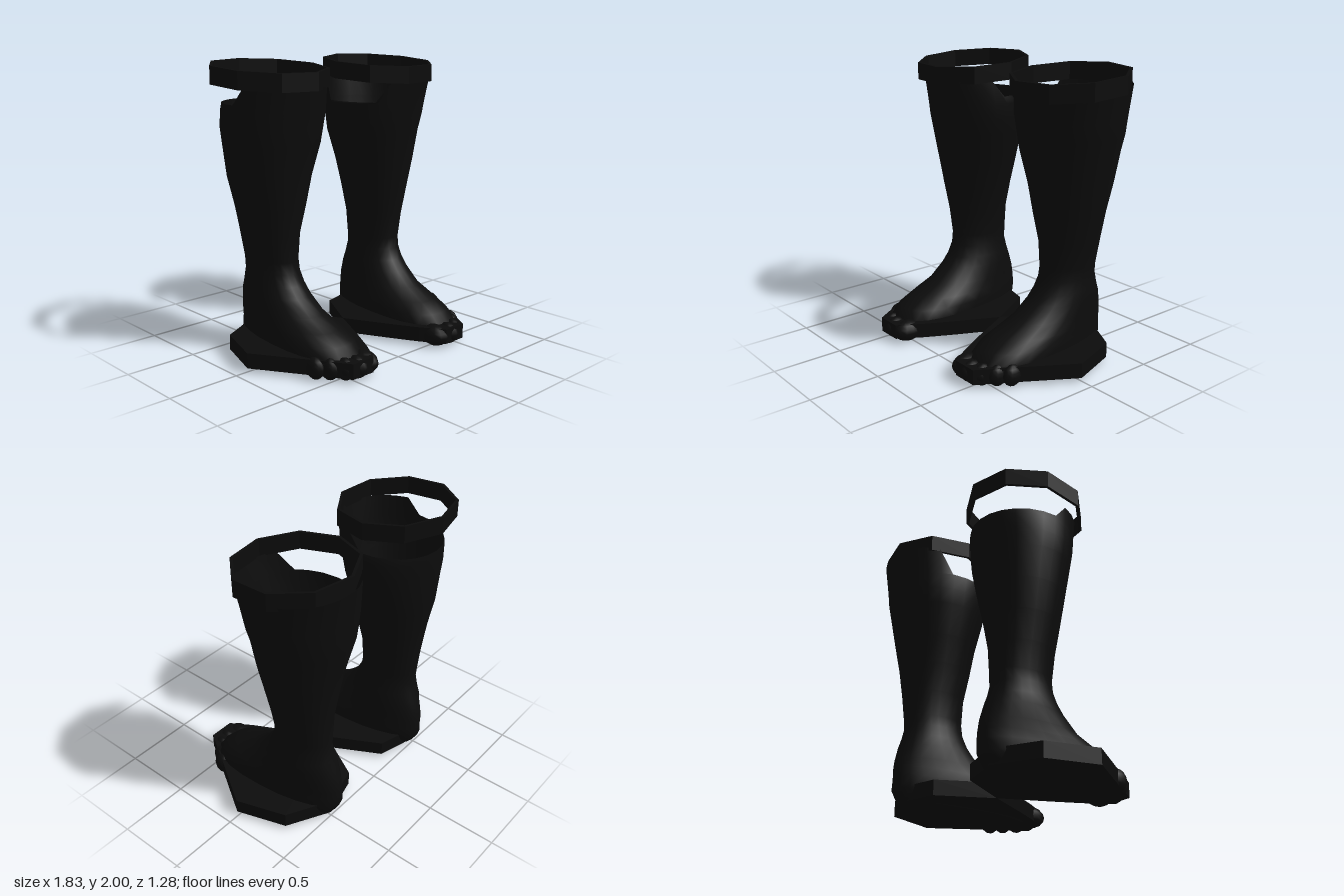
import * as THREE from 'three';

const charcoal = new THREE.MeshStandardMaterial({ color: 0x0c0c0c, side: THREE.DoubleSide });
charcoal.name = 'charcoal';
const SIDES = 24;

// Upright prism from a plan outline of [x, z] points, with an optional hole
function prism(outline, y, height, hole) {
  const toPoints = (list) => list.map(([x, z]) => new THREE.Vector2(x, -z));
  const shape = new THREE.Shape(toPoints(outline));
  if (hole) shape.holes.push(new THREE.Path(toPoints(hole)));
  const g = new THREE.ExtrudeGeometry(shape, { depth: height, bevelEnabled: false });
  return g.rotateX(-Math.PI / 2).translate(0, y, 0);
}

// Hollow shin running down into the foot; s = 1 is the left leg, -1 the right
function legGeometry(s) {
  const left = s > 0;
  // y, inner x, outer x, back z, front z, forward widening, squareness
  const rows = [
    [0.01, 0.31, 0.62, -0.46, 0.48, 0.22, 0.85],
    [0.05, 0.26, 0.69, -0.51, 0.54, 0.22, 0.85],
    [0.12, 0.25, 0.70, -0.55, 0.55, 0.22, 0.85],
    [0.20, 0.25, 0.69, -0.55, 0.47, 0.2, 0.9],
    [0.26, 0.27, 0.68, -0.55, 0.36, 0.14, 0.95],
    [0.33, 0.285, 0.67, -0.54, 0.21, 0.06, 1],
    [0.43, 0.30, 0.67, -0.51, 0.08, 0, 1],
    [0.50, 0.315, 0.66, -0.485, 0.02, 0, 1],
    [0.58, 0.33, 0.65, -0.465, -0.02, 0, 1],
    [0.66, 0.335, 0.65, -0.47, -0.03, 0, 1],
    [0.84, 0.315, 0.69, -0.48, -0.02, 0, 1],
    [1.04, 0.265, 0.735, -0.505, 0.015, 0, 1],
    [1.24, 0.215, 0.785, -0.54, 0.045, 0, 1],
    [1.46, 0.15, 0.82, left ? -0.59 : -0.56, 0.09, 0, 1],
    [1.57, 0.135, left ? 0.85 : 0.835, left ? -0.605 : -0.57, 0.11, 0, 1],
    [1.68, 0.125, left ? 0.865 : 0.83, left ? -0.615 : -0.575, 0.13, 0, 1],
    [1.86, 0.14, left ? 0.89 : 0.82, left ? -0.64 : -0.575, 0.16, 0, 1],
  ];
  const bend = (v, p) => Math.sign(v) * Math.abs(v) ** p;
  const pos = [], index = [];
  rows.forEach(([y, x0, x1, zb, zf, widen, p], r) => {
    for (let i = 0; i < SIDES; i++) {
      const t = (i / SIDES) * Math.PI * 2, sn = Math.sin(t), cs = Math.cos(t);
      const x = (x0 + x1) / 2 + ((x1 - x0) / 2) * bend(sn, p) * (1 + widen * cs);
      const z = (zb + zf) / 2 + ((zf - zb) / 2) * bend(cs, p);
      // The rim dips at the inner side, and behind on the right leg
      let h = y;
      if (r === rows.length - 1) {
        if (left) h = sn < -0.6 && cs > -0.4 ? 1.69 : 1.87 - 0.04 * cs;
        else h = cs > 0.2 ? 1.84 : 1.73;
      }
      pos.push(s * x, h, z);
    }
  });
  const tri = (a, b, c) => (left ? index.push(a, b, c) : index.push(a, c, b));
  for (let r = 0; r < rows.length - 1; r++) {
    for (let i = 0; i < SIDES; i++) {
      const j = (i + 1) % SIDES, a = r * SIDES + i, b = r * SIDES + j;
      tri(a, b, b + SIDES);
      tri(a, b + SIDES, a + SIDES);
    }
  }
  // Sole
  const centre = pos.length / 3;
  pos.push(s * 0.465, 0.01, 0);
  for (let i = 0; i < SIDES; i++) tri(centre, (i + 1) % SIDES, i);
  const g = new THREE.BufferGeometry();
  g.setAttribute('position', new THREE.Float32BufferAttribute(pos, 3));
  g.setIndex(index);
  g.computeVertexNormals();
  return g;
}

// Loose nine-sided band, rising towards the back
function bandGeometry(s) {
  const ring = (radius) => Array.from({ length: 9 }, (_, i) => {
    const a = ((40 * i - 7) * Math.PI) / 180;
    return [s * (0.51 + radius * Math.sin(a)), -0.22 - radius * Math.cos(a)];
  });
  const g = prism(ring(0.405), 1.82, 0.12, ring(0.385));
  const p = g.attributes.position;
  for (let i = 0; i < p.count; i++) p.setY(i, p.getY(i) + 0.075 * (0.18 - p.getZ(i)));
  g.computeVertexNormals();
  return g;
}

export function createModel() {
  const model = new THREE.Group();
  model.name = 'pairOfLegs';
  const basePlan = [[0, -0.055], [0.16, 0.27], [0.26, 0.46], [0.36, 0.62], [0.54, 0.62],
    [0.71, 0.34], [0.915, 0.01], [0.8, -0.34], [0.5, -0.5], [0.2, -0.42]];
  // x, z, radius from the big toe outwards
  const toes = [[0.35, 0.52, 0.08], [0.45, 0.555, 0.058], [0.53, 0.53, 0.053],
    [0.6, 0.46, 0.05], [0.66, 0.39, 0.05]];

  for (const s of [1, -1]) {
    const side = new THREE.Group();
    side.name = s > 0 ? 'leftLeg' : 'rightLeg';
    const add = (name, geometry) => {
      const mesh = new THREE.Mesh(geometry, charcoal);
      mesh.name = name;
      side.add(mesh);
    };
    add('shinAndFoot', legGeometry(s));
    add('topBand', bandGeometry(s));
    add('base', prism(basePlan.map(([x, z]) => [s * x, z]), 0.035, 0.105));
    toes.forEach(([x, z, r], i) => {
      const toe = new THREE.SphereGeometry(r, 12, 8);
      toe.scale(1, 0.075 / r, i === 0 ? 1.4 : 1.45).translate(s * x, 0.08, z);
      add('toe' + (i + 1), toe);
    });
    model.add(side);
  }
  return model;
}
